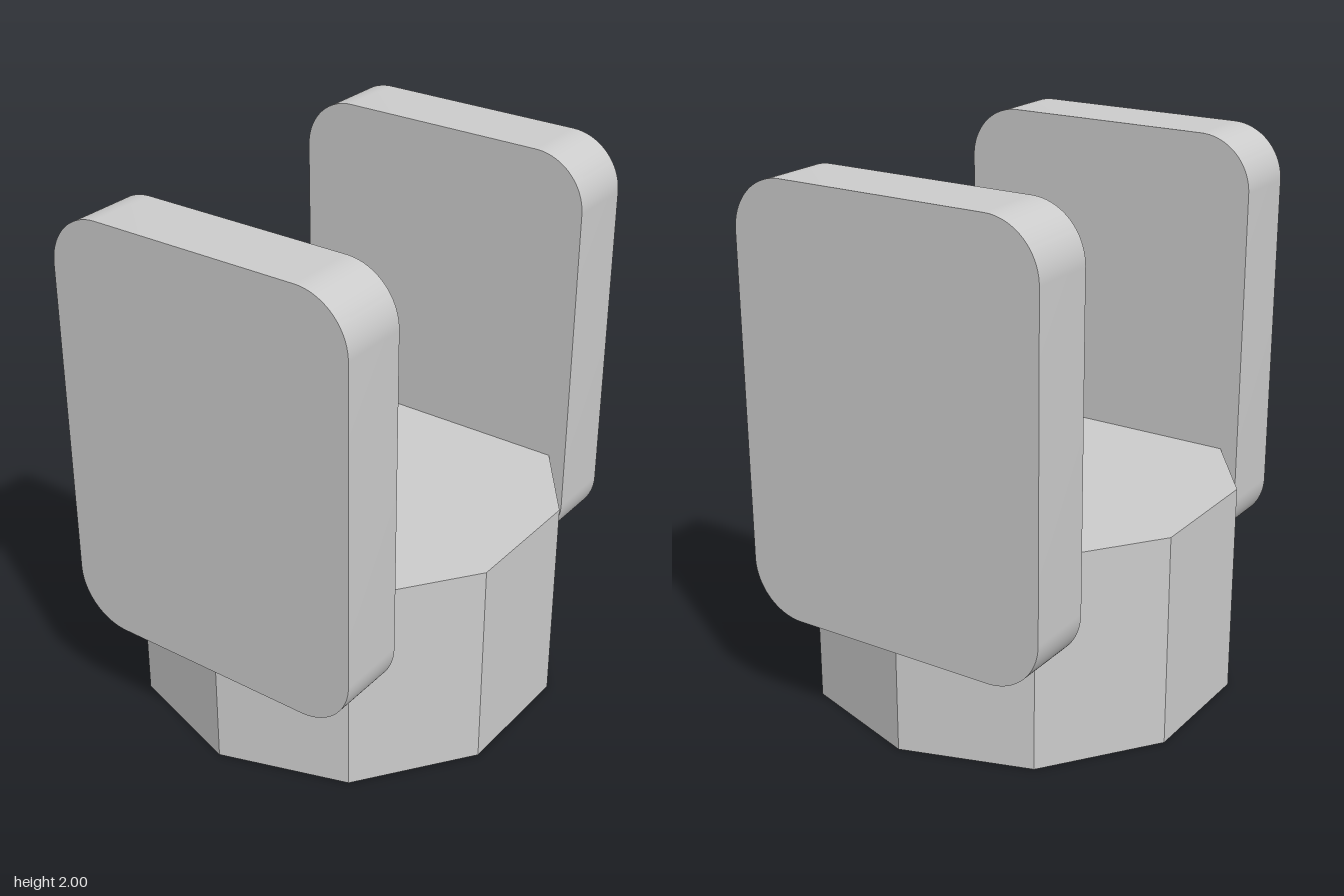
import * as THREE from 'three';
import { toCreasedNormals } from 'three/addons/utils/BufferGeometryUtils.js';

const CREASE = 0.5; // keeps the base facets and panel rims sharp, the corners smooth

// Upright rectangle with rounded corners, centred on x
function roundedPanelShape(halfWidth, bottom, top, r) {
  const s = new THREE.Shape();
  s.moveTo(halfWidth, bottom + r);
  s.absarc(halfWidth - r, top - r, r, 0, Math.PI / 2);
  s.absarc(-halfWidth + r, top - r, r, Math.PI / 2, Math.PI);
  s.absarc(-halfWidth + r, bottom + r, r, Math.PI, Math.PI * 1.5);
  s.absarc(halfWidth - r, bottom + r, r, Math.PI * 1.5, Math.PI * 2);
  return s;
}

export function createModel() {
  const group = new THREE.Group();
  const grey = new THREE.MeshStandardMaterial({ name: 'light grey', color: 0xcccccc });

  // Ten-sided base with a corner facing the front
  const base = new THREE.Mesh(
    toCreasedNormals(new THREE.CylinderGeometry(0.8, 0.8, 0.8, 10), CREASE), grey);
  base.name = 'base';
  base.position.y = 0.4;
  group.add(base);

  // Two upright panels, front and back
  const inner = 0.562, depth = 0.264;
  const panelGeometry = toCreasedNormals(
    new THREE.ExtrudeGeometry(roundedPanelShape(0.6, 0.4, 2, 0.2),
      { depth, bevelEnabled: false, curveSegments: 16 }), CREASE);
  for (const [name, z] of [['frontPanel', inner], ['backPanel', -inner - depth]]) {
    const panel = new THREE.Mesh(panelGeometry, grey);
    panel.name = name;
    panel.position.z = z;
    group.add(panel);
  }
  return group;
}
